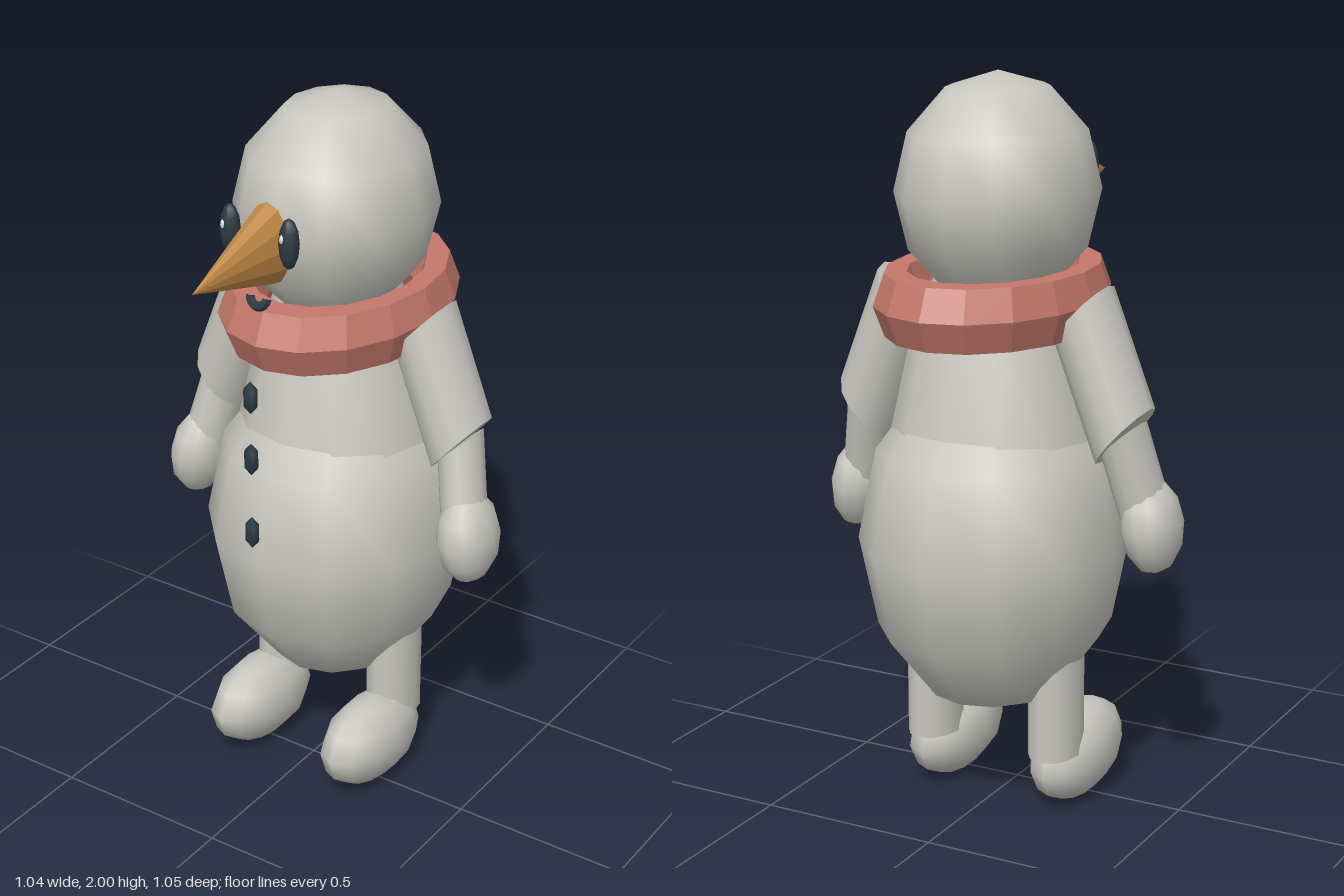
import * as THREE from 'three';

const mat = (name, color) => {
  const m = new THREE.MeshStandardMaterial({ color });
  m.name = name;
  return m;
};

// give every triangle its own normal for a faceted look
const faceted = (geo) => {
  const g = geo.toNonIndexed();
  g.computeVertexNormals();
  return g;
};

export function createModel() {
  const snow = mat('snow grey', 0xc8c7bf);
  const wool = mat('scarf red', 0xc4786a);
  const carrot = mat('carrot orange', 0xc08844);
  const coal = mat('coal', 0x2a3a42);
  const glint = mat('eye glint', 0xe6e8ea);

  const root = new THREE.Group();
  root.name = 'snowFigure';

  const add = (name, geo, material, pos = [0, 0, 0]) => {
    const mesh = new THREE.Mesh(geo, material);
    mesh.name = name;
    mesh.position.set(...pos);
    root.add(mesh);
    return mesh;
  };
  const ellipsoid = (name, material, pos, radii, w = 12, h = 6) =>
    add(name, new THREE.SphereGeometry(1, w, h).scale(...radii), material, pos);

  // cylinder between two points with slanted end caps: u is the cap's half width, depth its z radius
  const limb = (name, top, bottom, u, depth) => {
    const a = new THREE.Vector3(...top);
    const b = new THREE.Vector3(...bottom);
    const m = new THREE.Matrix4().makeBasis(
      new THREE.Vector3(...u), a.clone().sub(b), new THREE.Vector3(0, 0, depth));
    m.setPosition(a.add(b).multiplyScalar(0.5));
    return add(name, new THREE.CylinderGeometry(1, 1, 1, 12).applyMatrix4(m), snow);
  };

  // belly, chest and head
  ellipsoid('belly', snow, [0, 0.757, -0.127], [0.359, 0.49, 0.393]);
  const chest = [[0.295, 1.0], [0.222, 1.33], [0.14, 1.52]].map((p) => new THREE.Vector2(...p));
  add('chest', new THREE.LatheGeometry(chest, 12).scale(0.97, 1, 1), snow, [0, 0, -0.127]);
  ellipsoid('head', snow, [0, 1.69, -0.106], [0.262, 0.31, 0.304]);

  // scarf: hexagonal ring, longer from front to back
  const ring = new THREE.TorusGeometry(0.32, 0.073, 6, 16).rotateX(Math.PI / 2);
  ring.scale(0.735, 1.31, 1);
  add('scarf', faceted(ring), wool, [0, 1.416, -0.127]);

  // nose
  const cone = new THREE.ConeGeometry(1, 0.327, 12).rotateX(Math.PI / 2);
  cone.scale(0.063, 0.115, 1);
  add('nose', faceted(cone), carrot, [0, 1.668, 0.362]).rotation.x = 0.06;

  // mouth: a small upturned arc
  const smile = new THREE.TorusGeometry(0.026, 0.013, 6, 8, Math.PI).rotateZ(Math.PI);
  add('mouth', faceted(smile), coal, [0, 1.55, 0.247]).rotation.x = -0.3;

  // buttons
  for (const y of [1.28, 1.1, 0.88])
    ellipsoid('button', coal, [0, y, 0.29], [0.023, 0.047, 0.019], 8, 3);

  // mirrored parts
  for (const s of [1, -1]) {
    const side = s > 0 ? 'left' : 'right';
    ellipsoid(side + 'Eye', coal, [s * 0.09, 1.713, 0.242], [0.028, 0.069, 0.025], 10, 6);
    ellipsoid(side + 'EyeGlint', glint, [s * 0.09 - 0.008, 1.73, 0.262], [0.007, 0.013, 0.008], 6, 4);

    limb(side + 'UpperArm', [s * 0.265, 1.392, -0.131], [s * 0.386, 1.081, -0.131],
      [0.069, s * 0.08, 0], 0.105);
    limb(side + 'Forearm', [s * 0.383, 1.075, -0.132], [s * 0.432, 0.85, -0.085],
      [0.054, s * 0.05, 0], 0.078);
    ellipsoid(side + 'Hand', snow, [s * 0.444, 0.836, -0.084], [0.079, 0.131, 0.11])
      .rotation.z = s * 0.12;

    limb(side + 'Leg', [s * 0.188, 0.47, -0.13], [s * 0.188, 0.165, -0.13], [0.07, 0, 0], 0.097);
    ellipsoid(side + 'Foot', snow, [s * 0.19, 0.132, -0.007], [0.103, 0.128, 0.207])
      .rotation.x = -0.1;
  }
  return root;
}
